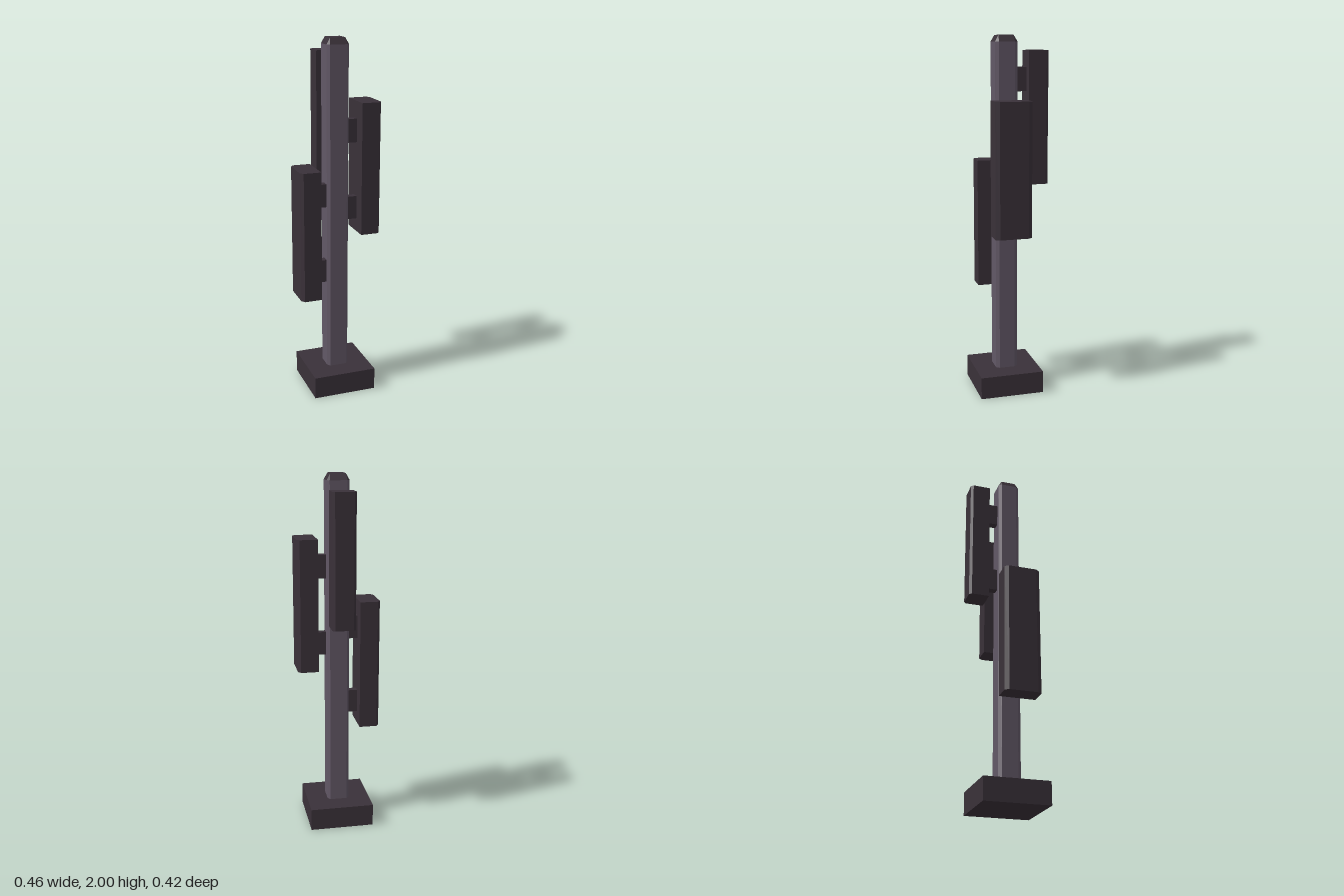
import * as THREE from 'three';

// Upright prism from a rectangular footprint whose corners are cut.
// cuts: [cx, cz] for corners (x0,z0), (x1,z0), (x1,z1), (x0,z1)
function prism([x0, x1], [y0, y1], [z0, z1], cuts) {
  const corners = [[x0, z0, 1, 1], [x1, z0, -1, 1], [x1, z1, -1, -1], [x0, z1, 1, -1]];
  const points = [];
  corners.forEach(([x, z, sx, sz], i) => {
    const [cx, cz] = cuts[i];
    if (!cx) return points.push(new THREE.Vector2(x, -z));
    const pair = [new THREE.Vector2(x, -(z + sz * cz)), new THREE.Vector2(x + sx * cx, -z)];
    points.push(...(i % 2 ? pair.reverse() : pair));
  });
  const geometry = new THREE.ExtrudeGeometry(new THREE.Shape(points), { depth: y1 - y0, bevelEnabled: false });
  geometry.rotateX(-Math.PI / 2);
  geometry.translate(0, y0, 0);
  return geometry;
}

export function createModel() {
  const model = new THREE.Group();
  model.name = 'signalMast';
  const dark = new THREE.MeshStandardMaterial({ name: 'dark plum', color: 0x3a3139 });
  const light = new THREE.MeshStandardMaterial({ name: 'mauve grey', color: 0x625866 });

  const add = (name, geometry, material) => {
    const mesh = new THREE.Mesh(geometry, material);
    mesh.name = name;
    model.add(mesh);
  };
  const box = ([x0, x1], [y0, y1], [z0, z1]) =>
    new THREE.BoxGeometry(x1 - x0, y1 - y0, z1 - z0)
      .translate((x0 + x1) / 2, (y0 + y1) / 2, (z0 + z1) / 2);

  // Base block
  add('base', box([-0.18, 0.18], [0, 0.125], [-0.154, 0.207]), dark);

  // Pole with chamfered edges
  const poleX = [-0.062, 0.062], poleZ = [-0.036, 0.088], poleMid = 0.026;
  const poleCuts = Array(4).fill([0.014, 0.018]);
  add('pole', prism(poleX, [0.125, 1.965], poleZ, poleCuts), light);

  // Tapered cap: draw the top ring inwards
  const cap = prism(poleX, [1.965, 2], poleZ, poleCuts);
  const p = cap.attributes.position;
  for (let i = 0; i < p.count; i++) {
    if (p.getY(i) < 1.98) continue;
    p.setX(i, Math.sign(p.getX(i)) * 0.042);
    p.setZ(i, poleMid + Math.sign(p.getZ(i) - poleMid) * 0.042);
  }
  cap.computeVertexNormals();
  add('cap', cap, dark);

  // Side and back panels, outer corners cut, each on two brackets
  const none = [0, 0], cut = [0.015, 0.022], backCut = [0.013, 0.014];
  const panels = [
    { name: 'left', x: [0.118, 0.232], y: [0.925, 1.66], z: [-0.07, 0.133], cuts: [none, cut, cut, none],
      bx: [0.055, 0.122], bz: [0.015, 0.056], by: [1.0, 1.435] },
    { name: 'right', x: [-0.233, -0.119], y: [0.575, 1.307], z: [-0.054, 0.149], cuts: [cut, none, none, cut],
      bx: [-0.122, -0.055], bz: [0.022, 0.064], by: [0.645, 1.085] },
    { name: 'back', x: [-0.064, 0.064], y: [1.19, 1.92], z: [-0.21, -0.096], cuts: [backCut, backCut, none, none],
      bx: [-0.022, 0.02], bz: [-0.1, -0.03], by: [1.26, 1.7] },
  ];
  for (const s of panels) {
    add(s.name + 'Panel', prism(s.x, s.y, s.z, s.cuts), dark);
    for (const y of s.by) add(s.name + 'Bracket', box(s.bx, [y, y + 0.13], s.bz), dark);
  }
  return model;
}
